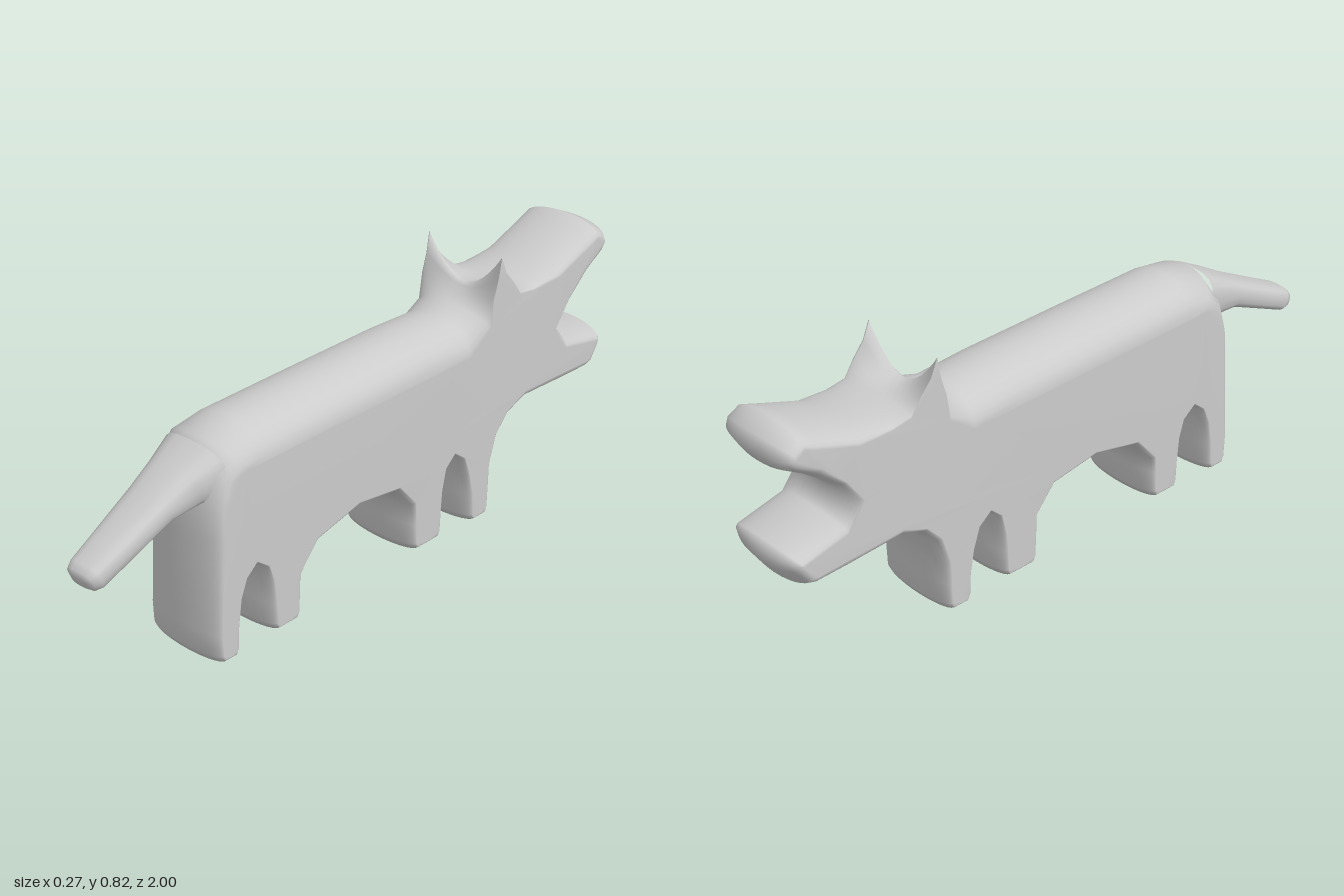
import * as THREE from 'three';

const HALF = 0.135; // half width of the body
const grey = () => new THREE.MeshStandardMaterial({ color: 0xcccccc });

function buildMesh(name, positions, indices) {
  const g = new THREE.BufferGeometry();
  g.setAttribute('position', new THREE.Float32BufferAttribute(positions, 3));
  g.setIndex(indices);
  g.computeVertexNormals();
  const mesh = new THREE.Mesh(g, grey());
  mesh.name = name;
  return mesh;
}

// Outline of the animal, counter-clockwise. u runs from tail to nose (u = -z),
// r is how far the outline draws in towards the flat sides.
function outline() {
  const pts = [];
  const add = (r, list) => list.forEach(([u, y]) => pts.push({ u, y, r }));
  // a foot between u0 and u1, standing on height y
  const foot = (u0, u1, y) => add(0.024, [
    [u0, y + 0.1], [u0 + 0.004, y + 0.03], [u0 + 0.02, y + 0.003], [(u0 + u1) / 2, y],
    [u1 - 0.02, y + 0.003], [u1 - 0.004, y + 0.03], [u1, y + 0.1],
  ]);
  // hind legs
  add(0.04, [[-0.64, 0.47], [-0.645, 0.39]]);
  foot(-0.648, -0.543, 0);
  add(0.02, [[-0.535, 0.18], [-0.515, 0.23], [-0.49, 0.255], [-0.462, 0.23], [-0.447, 0.18]]);
  foot(-0.443, -0.31, 0.008);
  // belly
  add(0.03, [[-0.305, 0.15], [-0.245, 0.22], [-0.09, 0.255], [0.06, 0.235], [0.115, 0.17]]);
  // front legs
  foot(0.12, 0.27, 0.01);
  add(0.02, [[0.272, 0.17], [0.285, 0.23], [0.308, 0.255], [0.335, 0.23], [0.355, 0.17]]);
  foot(0.365, 0.478, 0);
  add(0.03, [[0.485, 0.17], [0.51, 0.25], [0.55, 0.295]]);
  // lower jaw
  add(0.045, [[0.62, 0.31], [0.8, 0.302], [0.91, 0.3], [0.945, 0.312], [0.985, 0.37],
    [0.992, 0.405], [0.975, 0.432], [0.82, 0.467]]);
  // mouth corner and upper jaw
  add(0.03, [[0.772, 0.508], [0.82, 0.565]]);
  add(0.045, [[0.9, 0.622], [0.975, 0.668], [1.0, 0.71], [0.985, 0.755], [0.93, 0.782],
    [0.885, 0.767], [0.74, 0.715]]);
  // brow and ears
  add(0.02, [[0.64, 0.692], [0.585, 0.7]]);
  pts.push({ u: 0.545, y: 0.73, r: 0, valley: 0.7 });
  pts.push({ u: 0.51, y: 0.772, r: 0, valley: 0.705 });
  pts.push({ u: 0.488, y: 0.825, r: 0, valley: 0.708 });
  pts.push({ u: 0.477, y: 0.76, r: 0, valley: 0.7 });
  pts.push({ u: 0.46, y: 0.705, r: 0, valley: 0.68 });
  // back and rump
  add(0.05, [[0.425, 0.662]]);
  add(0.1, [[0.36, 0.655], [0.2, 0.663], [-0.15, 0.665], [-0.47, 0.665], [-0.58, 0.645]]);
  add(0.06, [[-0.625, 0.57]]);
  return pts;
}

function body() {
  const pts = outline(), n = pts.length, layers = 16;
  // inward direction at each outline point
  const inward = pts.map((p, i) => {
    const a = pts[(i + n - 1) % n], b = pts[(i + 1) % n];
    const ta = new THREE.Vector2(p.u - a.u, p.y - a.y).normalize();
    const tb = new THREE.Vector2(b.u - p.u, b.y - p.y).normalize();
    const t = ta.add(tb).normalize();
    return new THREE.Vector2(-t.y, t.x);
  });
  const pos = [], idx = [], rim = [];
  for (let k = 0; k <= layers; k++) {
    const a = (k / layers - 0.5) * Math.PI;
    const s = Math.sin(a), inset = 1 - Math.cos(a);
    pts.forEach((p, i) => {
      // ears rise from a dip at the middle to points at the sides
      const y = p.valley ? p.valley + (p.y - p.valley) * Math.abs(s) ** 1.8 : p.y;
      const u = p.u + inward[i].x * p.r * inset;
      const v = y + inward[i].y * p.r * inset;
      pos.push(s * HALF, v, -u);
      if (k === layers) rim.push(new THREE.Vector2(u, v));
    });
  }
  for (let k = 0; k < layers; k++) {
    for (let i = 0; i < n; i++) {
      const j = (i + 1) % n, a = k * n + i, b = k * n + j;
      idx.push(a, b, b + n, a, b + n, a + n);
    }
  }
  // flat flanks
  for (const [a, b, c] of THREE.ShapeUtils.triangulateShape(rim, [])) {
    const o = layers * n;
    idx.push(o + a, o + b, o + c, a, c, b);
  }
  return buildMesh('body', pos, idx);
}

function tail() {
  // z, y, half width, half height
  const rings = [
    [0.56, 0.55, 0.115, 0.085], [0.65, 0.533, 0.09, 0.06], [0.74, 0.505, 0.077, 0.04],
    [0.9, 0.428, 0.064, 0.036], [0.965, 0.397, 0.058, 0.035], [0.985, 0.389, 0.05, 0.028],
    [0.993, 0.385, 0.03, 0.016],
  ];
  const seg = 20, pos = [], idx = [];
  const round = (v) => Math.sign(v) * Math.abs(v) ** 0.7;
  for (const [z, y, w, h] of rings) {
    for (let i = 0; i < seg; i++) {
      const a = (i / seg) * Math.PI * 2, dy = h * round(Math.sin(a));
      pos.push(w * round(Math.cos(a)), y + dy, z + dy * 0.4);
    }
  }
  const tip = rings.length * seg;
  pos.push(0, 0.384, 0.994);
  for (let k = 0; k < rings.length; k++) {
    for (let i = 0; i < seg; i++) {
      const j = (i + 1) % seg, a = k * seg + i, b = k * seg + j;
      if (k === rings.length - 1) idx.push(a, b, tip);
      else idx.push(a, b, b + seg, a, b + seg, a + seg);
    }
  }
  return buildMesh('tail', pos, idx);
}

export function createModel() {
  const model = new THREE.Group();
  model.name = 'animal';
  model.add(body(), tail());
  return model;
}
